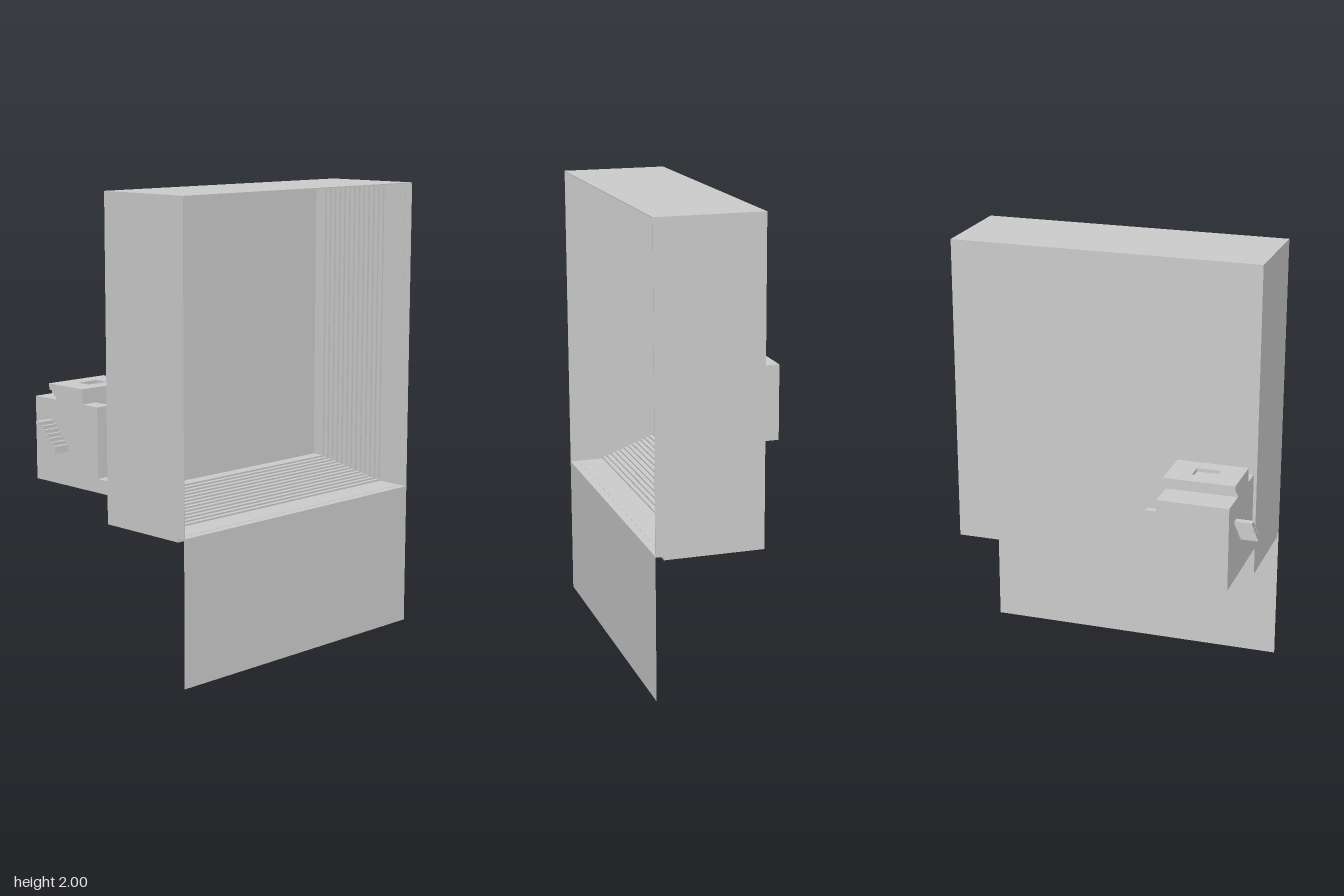
import * as THREE from 'three';

const material = new THREE.MeshStandardMaterial({ color: 0xcccccc, flatShading: true, side: THREE.DoubleSide });

// Outer limits of the cabinet
const L = -0.66, R = 0.73, BOTTOM = 0.61, TOP = 2, FRONT = 0.465;

export function createModel() {
  const model = new THREE.Group();

  function add(parent, name, geometry) {
    const mesh = new THREE.Mesh(geometry, material);
    mesh.name = name;
    parent.add(mesh);
    return mesh;
  }

  // Box given by its limits on each axis
  function box(parent, name, x0, x1, y0, y1, z0, z1) {
    const mesh = add(parent, name, new THREE.BoxGeometry(x1 - x0, y1 - y0, z1 - z0));
    mesh.position.set((x0 + x1) / 2, (y0 + y1) / 2, (z0 + z1) / 2);
    return mesh;
  }

  function polygon(points) {
    return new THREE.Shape(points.map(([a, b]) => new THREE.Vector2(a, b)));
  }

  function extrude(shape, depth) {
    return new THREE.ExtrudeGeometry(shape, { depth, bevelEnabled: false });
  }

  // Profile in (z, y), extruded along x from x0 to x1
  function extrudeX(parent, name, points, x0, x1) {
    const geometry = extrude(polygon(points.map(([z, y]) => [-z, y])), x1 - x0);
    geometry.rotateY(Math.PI / 2);
    geometry.translate(x0, 0, 0);
    return add(parent, name, geometry);
  }

  // Cabinet: thin back, side and top, open at the front
  const cabinet = new THREE.Group();
  cabinet.name = 'cabinet';
  model.add(cabinet);
  const t = 0.004;
  box(cabinet, 'backWall', L, R, BOTTOM, TOP, 0, t);
  box(cabinet, 'sideWall', L, L + t, BOTTOM, TOP, t, 0.43);
  box(cabinet, 'sideWallFront', L, L + t, 0.625, TOP, 0.43, FRONT);
  box(cabinet, 'roof', L, R, TOP - t, TOP, t, FRONT);

  // Stepped frame along the floor and the other side, growing towards the back
  function frameLayer(name, x, y, base, z0, z1) {
    const shape = polygon([[L, base], [R, base], [R, TOP], [x, TOP], [x, y], [L, y]]);
    add(cabinet, name, extrude(shape, z1 - z0)).position.z = z0;
  }
  const steps = 12, zBack = 0.06, zFront = 0.31;
  frameLayer('rearShelf', 0.61, 0.73, BOTTOM, t, zBack);
  for (let i = 0; i < steps; i++) {
    const k = (i + 1) / (steps + 1), dz = (zFront - zBack) / steps;
    frameLayer('frameStep', 0.61 + 0.116 * k, 0.73 - 0.1 * k, BOTTOM, zBack + i * dz, zBack + (i + 1) * dz);
  }
  frameLayer('frontShelf', 0.726, 0.63, BOTTOM, zFront, 0.43);
  frameLayer('frontLip', 0.727, 0.629, 0.625, 0.43, FRONT);

  // Thin apron hanging below the front edge
  const apron = add(model, 'apron', new THREE.PlaneGeometry(R - L, 0.625));
  apron.position.set((L + R) / 2, 0.3125, FRONT);

  // Small unit behind the cabinet
  const unit = new THREE.Group();
  unit.name = 'rearUnit';
  model.add(unit);
  const U0 = L, U1 = -0.35;
  box(unit, 'connector', U0, -0.585, 0.735, 0.795, -0.06, 0);
  box(unit, 'body', U0, U1, 0.735, 1.1, -0.465, -0.155);

  // Top slab with a stepped, undercut rear end and a recess in its top
  const slab = [[-0.155, 1.1], [-0.155, 1.15], [-0.37, 1.15]];
  for (let i = 0; i < 4; i++) {
    const z = -0.37 + i * 0.0135, y = 1.15 - i * 0.0125;
    slab.push([z, y - 0.0125], [z + 0.0135, y - 0.0125]);
  }
  extrudeX(unit, 'slab', slab, U0, U1);
  const cover = polygon([[U0, 0.155], [U1, 0.155], [U1, 0.375], [U0, 0.375]]);
  cover.holes.push(polygon([[-0.56, 0.225], [-0.56, 0.3], [-0.455, 0.3], [-0.455, 0.225]]));
  const coverGeometry = extrude(cover, 0.015);
  coverGeometry.rotateX(-Math.PI / 2);
  add(unit, 'slabCover', coverGeometry).position.y = 1.15;

  // Stepped diagonal plates standing out on both sides
  const n = 8, s = 0.125 / n, plate = [];
  for (let i = 0; i < n; i++) plate.push([-0.25 - i * s, 0.885 + i * s], [-0.25 - (i + 1) * s, 0.885 + i * s]);
  plate.push([-0.375, 1.01]);
  for (let i = n - 1; i > 1; i--) plate.push([-0.25 - (i - 1) * s, 0.885 + (i + 1) * s], [-0.25 - (i - 1) * s, 0.885 + i * s]);
  plate.push([-0.25, 0.885 + 2 * s]);
  extrudeX(unit, 'sidePlate', plate, U1, -0.275);
  extrudeX(unit, 'sidePlate', plate, -0.735, U0);

  // Front face of the unit: side cheek, floor and middle block
  box(unit, 'cheek', U0, -0.585, 0.735, 1.1, -0.155, -0.06);
  box(unit, 'floor', -0.585, U1, 0.735, 0.8, -0.155, -0.06);
  box(unit, 'middleBlock', -0.515, -0.405, 0.845, 1.07, -0.155, -0.11);

  // Corner gusset with a stepped diagonal edge
  const gusset = [[U1, 0.06], [U1, 0.155]];
  for (let i = 0; i < 6; i++) gusset.push([U1 - (i + 1) * 0.015, 0.155 - i * 0.0158], [U1 - (i + 1) * 0.015, 0.155 - (i + 1) * 0.0158]);
  const gussetGeometry = extrude(polygon(gusset), 0.09);
  gussetGeometry.rotateX(-Math.PI / 2);
  add(unit, 'cornerGusset', gussetGeometry).position.y = 0.72;

  return model;
}
